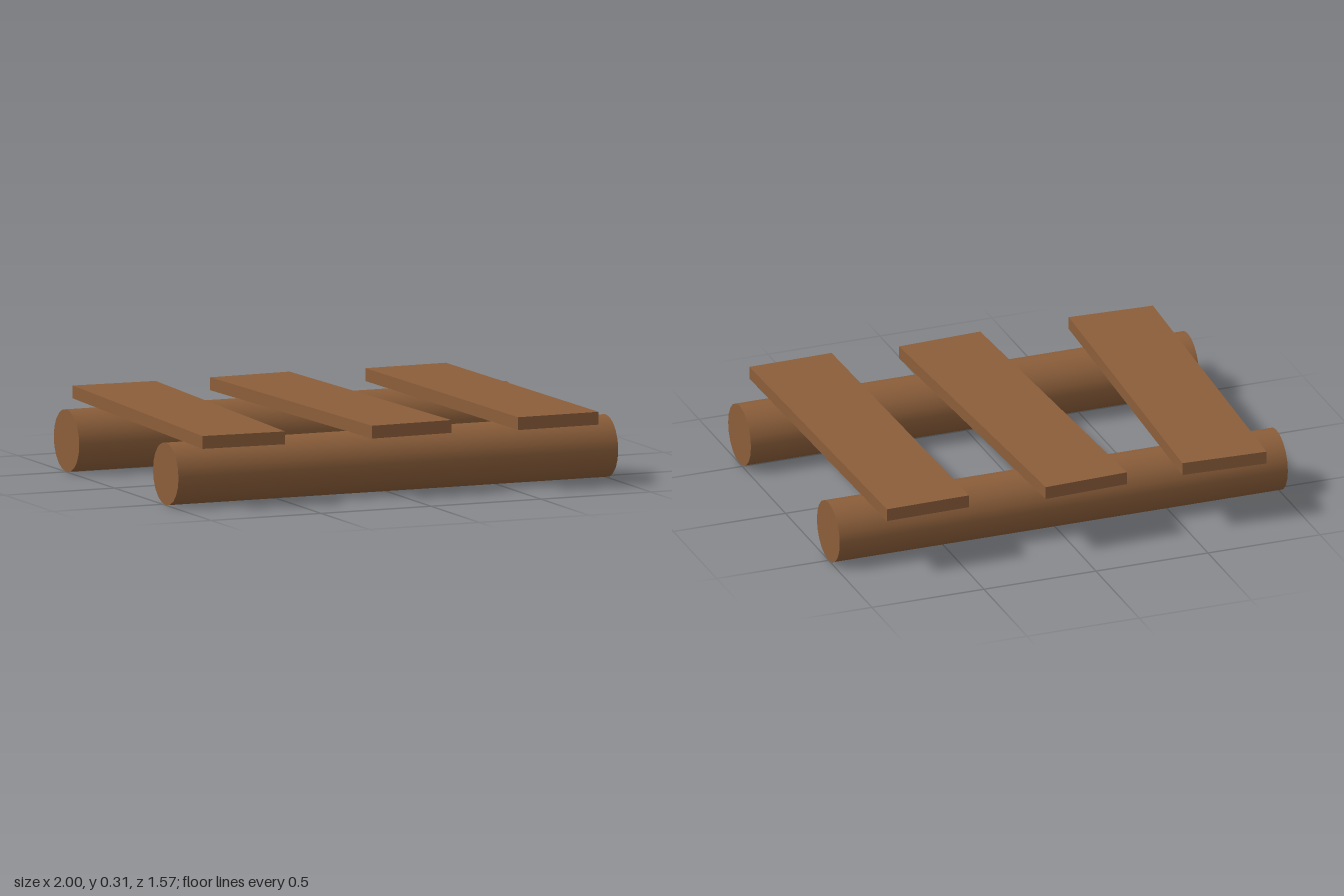
import * as THREE from 'three';

export function createModel() {
  const group = new THREE.Group();
  const wood = new THREE.MeshStandardMaterial({ color: 0x8b5e3a });
  wood.name = 'brown wood';

  // Two round logs lying along x
  const radius = 0.132;
  const logGeometry = new THREE.CylinderGeometry(radius, radius, 2, 20).rotateZ(Math.PI / 2);
  for (const [name, z] of [['frontLog', 0.531], ['backLog', -0.496]]) {
    const log = new THREE.Mesh(logGeometry, wood);
    log.name = name;
    log.position.set(0, radius, z);
    group.add(log);
  }

  // Three planks laid across the logs, each slightly askew
  const plankGeometry = new THREE.BoxGeometry(0.369, 0.054, 1.525);
  const planks = [
    ['rightPlank', -0.7, -0.015, -0.0525],
    ['middlePlank', -0.01, -0.014, 0.044],
    ['leftPlank', 0.665, 0.015, 0.0165],
  ];
  for (const [name, x, z, turn] of planks) {
    const plank = new THREE.Mesh(plankGeometry, wood);
    plank.name = name;
    plank.position.set(x, 0.288, z);
    plank.rotation.y = turn;
    group.add(plank);
  }

  return group;
}
